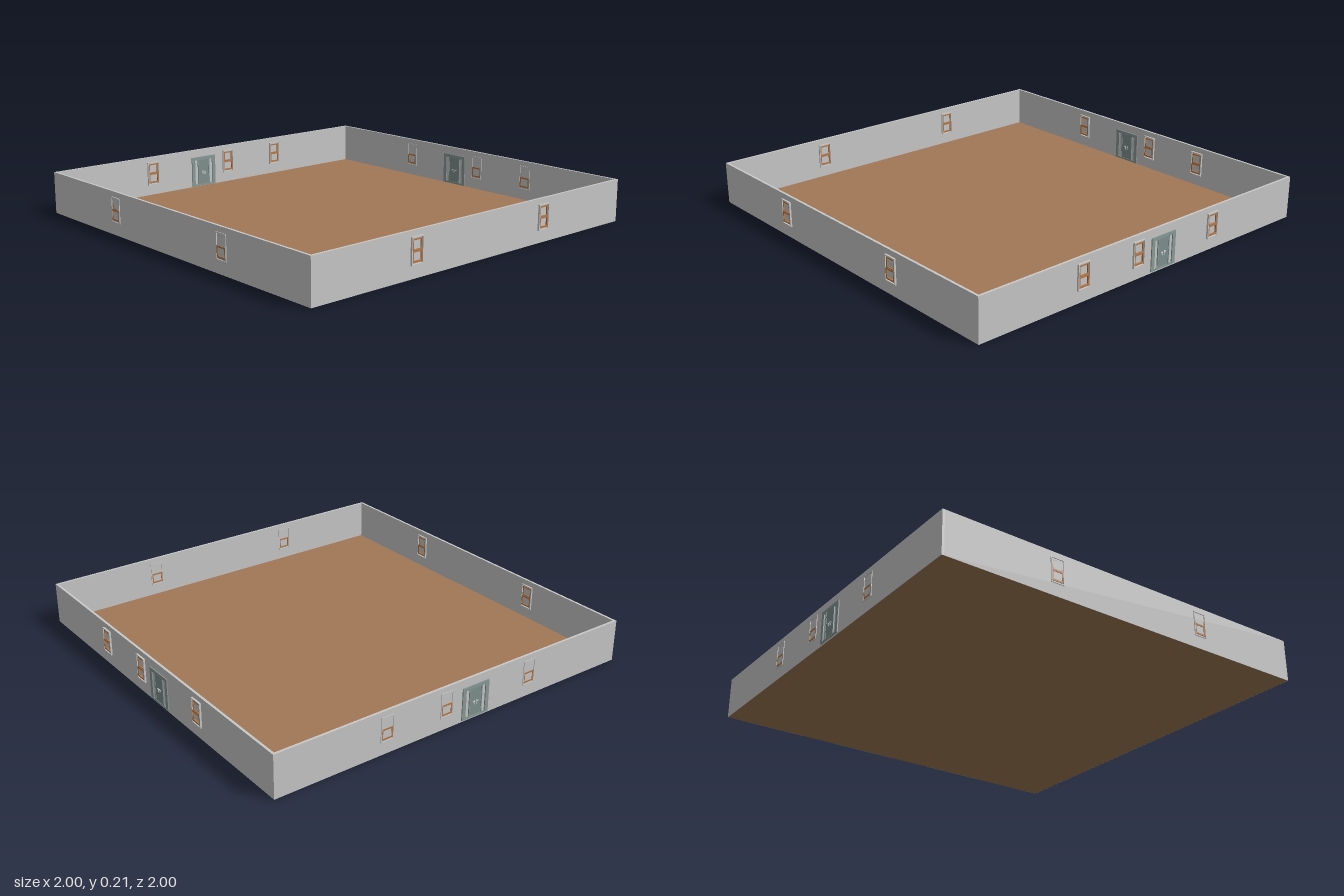
import * as THREE from 'three';

const mat = (name, color) => {
  const m = new THREE.MeshStandardMaterial({ color });
  m.name = name;
  return m;
};

export function createModel() {
  const wallGrey = mat('wall grey', 0xc8c8c8);
  const floorBrown = mat('floor brown', 0xa07855);
  const wood = mat('window wood', 0xb47a4c);
  const doorTeal = mat('door grey green', 0x8a9a98);
  const doorPanel = mat('door panel', 0x7f908e);
  const metal = mat('handle metal', 0xd8dcdc);

  const model = new THREE.Group();
  model.name = 'walledRoom';

  const box = (parent, name, material, size, pos) => {
    const mesh = new THREE.Mesh(new THREE.BoxGeometry(...size), material);
    mesh.name = name;
    mesh.position.set(...pos);
    parent.add(mesh);
    return mesh;
  };

  // Rectangular ring, centred on z = 0
  const frame = (parent, name, material, w, h, border, depth, y, z, x = 0) => {
    const shape = new THREE.Shape();
    const rect = (p, a, b) => p.moveTo(-a, -b).lineTo(a, -b).lineTo(a, b).lineTo(-a, b).closePath();
    rect(shape, w / 2, h / 2);
    const hole = new THREE.Path();
    rect(hole, w / 2 - border, h / 2 - border);
    shape.holes.push(hole);
    const geo = new THREE.ExtrudeGeometry(shape, { depth, bevelEnabled: false });
    geo.translate(0, 0, -depth / 2);
    const mesh = new THREE.Mesh(geo, material);
    mesh.name = name;
    mesh.position.set(x, y, z);
    parent.add(mesh);
  };

  // Sash window; local +z points out of the room, z = 0 is the middle of the wall
  const makeWindow = () => {
    const g = new THREE.Group();
    g.name = 'window';
    frame(g, 'windowTrim', wallGrey, 0.07, 0.124, 0.005, 0.024, 0.123, 0);
    frame(g, 'upperSash', wood, 0.056, 0.052, 0.006, 0.016, 0.149, 0);
    frame(g, 'lowerSash', wood, 0.062, 0.054, 0.008, 0.021, 0.098, 0);
    return g;
  };

  // Door with a narrow sidelight on each side
  const makeDoor = () => {
    const g = new THREE.Group();
    g.name = 'door';
    box(g, 'doorHead', doorTeal, [0.155, 0.017, 0.022], [0, 0.162, 0]);
    box(g, 'doorSill', doorTeal, [0.155, 0.01, 0.022], [0, 0.013, 0]);
    box(g, 'doorLeaf', doorPanel, [0.07, 0.136, 0.018], [0, 0.086, 0]);
    for (const s of [-1, 1]) {
      box(g, 'doorJamb', doorTeal, [0.02, 0.136, 0.022], [s * 0.0675, 0.086, 0]);
      box(g, 'doorMullion', doorTeal, [0.005, 0.136, 0.022], [s * 0.0355, 0.086, 0]);
      // Handles on both faces
      for (const f of [-1, 1]) {
        box(g, 'handlePlate', metal, [0.004, 0.02, 0.003], [s * 0.006, 0.08, f * 0.0095]);
        box(g, 'handleLever', metal, [0.012, 0.004, 0.003], [s * 0.01, 0.084, f * 0.0105]);
      }
    }
    return g;
  };

  // Room shell
  const half = 0.992, thick = 0.012, height = 0.212, shift = -0.004;
  const room = new THREE.Group();
  room.name = 'room';
  room.position.set(shift, 0, shift);
  model.add(room);
  box(room, 'floor', floorBrown, [half * 2 - 0.002, 0.006, half * 2 - 0.002], [0, 0.003, 0]);

  // Walls: facing angle, window places along the wall (local x), door place
  const sides = [
    { name: 'frontWall', angle: 0, windows: [-0.413, 0.416], out: 0.003 },
    { name: 'leftWall', angle: Math.PI / 2, windows: [-0.421, -0.085, 0.408], door: 0.076, out: 0.003 },
    { name: 'backWall', angle: Math.PI, windows: [-0.416, -0.083, 0.413], door: 0.084, out: -0.003 },
    { name: 'rightWall', angle: -Math.PI / 2, windows: [-0.413, 0.416], out: -0.002 },
  ];
  for (const { name, angle, windows, door, out } of sides) {
    const side = new THREE.Group();
    side.name = name;
    side.rotation.y = angle;
    room.add(side);
    const mid = half - thick / 2;
    const length = name === 'frontWall' || name === 'backWall' ? half * 2 : (half - thick) * 2;
    box(side, 'wall', wallGrey, [length, height, thick], [0, height / 2, mid]);
    for (const x of windows) {
      const w = makeWindow();
      w.position.set(x, 0, mid + out);
      side.add(w);
    }
    if (door !== undefined) {
      const d = makeDoor();
      d.position.set(door, 0, mid);
      side.add(d);
    }
  }
  return model;
}
